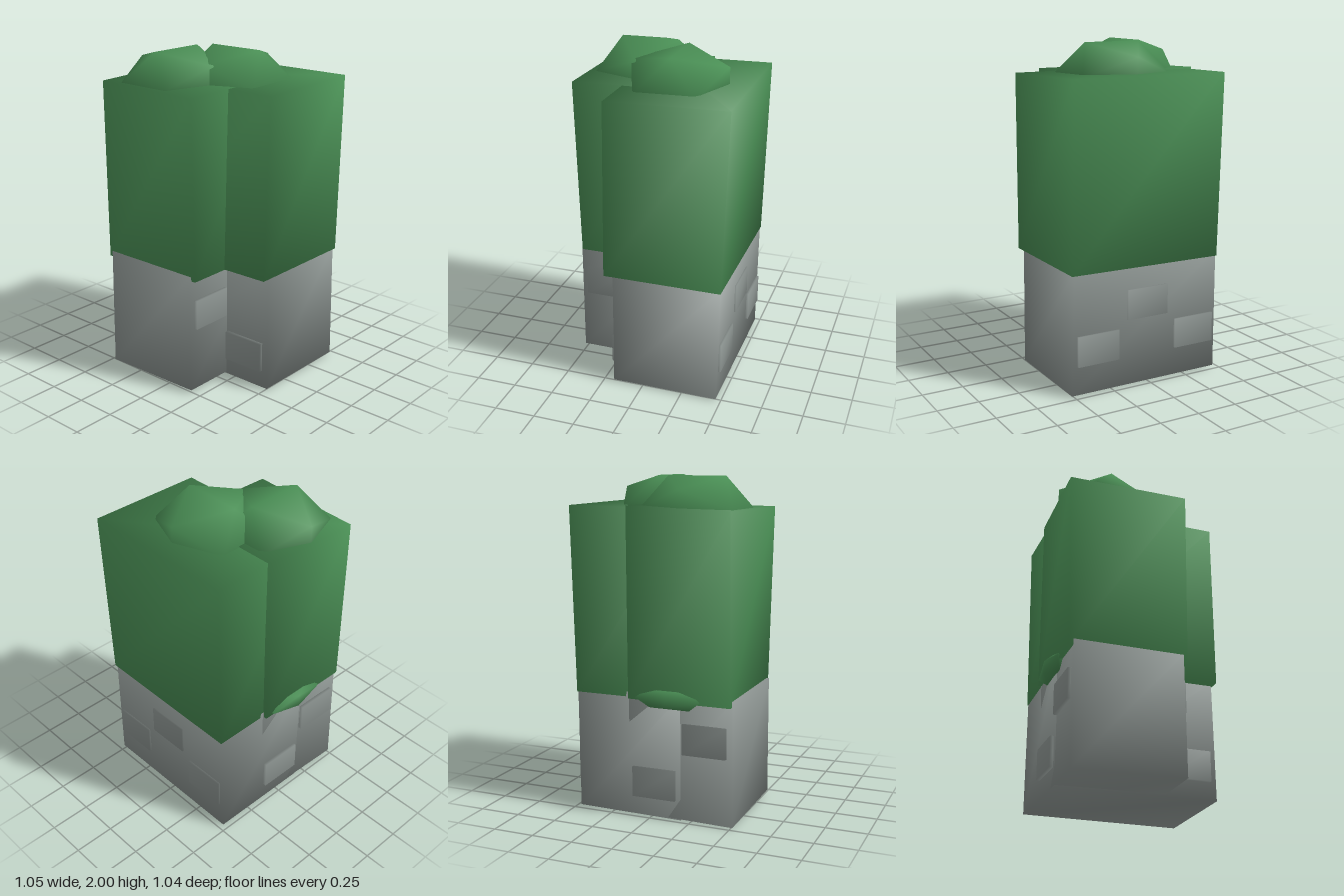
import * as THREE from 'three';
import { mergeVertices } from 'three/addons/utils/BufferGeometryUtils.js';

// Shares vertices between faces so the shading runs softly over the edges
function soften(geometry) {
  geometry.deleteAttribute('normal');
  geometry.deleteAttribute('uv');
  const merged = mergeVertices(geometry, 1e-4);
  merged.computeVertexNormals();
  return merged;
}

// Slightly crooked block; corners run back-left, back-right, front-right, front-left seen from above
function block(bottom, top) {
  const geometry = soften(new THREE.BoxGeometry(2, 2, 2));
  const p = geometry.attributes.position;
  for (let i = 0; i < p.count; i++) {
    const right = p.getX(i) > 0, front = p.getZ(i) > 0;
    const corner = front ? (right ? 2 : 3) : (right ? 1 : 0);
    p.setXYZ(i, ...(p.getY(i) > 0 ? top : bottom)[corner]);
  }
  geometry.computeVertexNormals();
  return geometry;
}

// Flattened faceted clump with an edge along its top
function clump(hx, hy, hz, turned) {
  const geometry = new THREE.IcosahedronGeometry(1, 0);
  if (turned) geometry.rotateY(Math.PI / 2);
  const k = 1 / 0.8507;
  geometry.scale(hx * k, hy * k, hz * k);
  return soften(geometry);
}

export function createModel() {
  const model = new THREE.Group();
  model.name = 'hedgeOnStoneWall';
  const leaf = new THREE.MeshStandardMaterial({ color: 0x4a8f55 });
  leaf.name = 'leaf green';
  const stone = new THREE.MeshStandardMaterial({ color: 0x8c9491 });
  stone.name = 'stone grey';

  const add = (name, geometry, material, position = [0, 0, 0]) => {
    const mesh = new THREE.Mesh(geometry, material);
    mesh.name = name;
    mesh.position.set(...position);
    model.add(mesh);
    return mesh;
  };

  // Stone base
  add('backWall', block(
    [[-0.47, 0.01, -0.47], [0.515, 0.01, -0.47], [0.51, 0.01, 0.185], [-0.465, 0, 0.185]],
    [[-0.465, 0.75, -0.48], [0.5, 0.75, -0.48], [0.505, 0.75, 0.18], [-0.475, 0.75, 0.185]]), stone);
  add('frontWall', block(
    [[-0.46, 0.01, -0.14], [0.19, 0.015, -0.14], [0.19, 0.02, 0.51], [-0.475, 0.005, 0.51]],
    [[-0.475, 0.75, -0.14], [0.19, 0.75, -0.14], [0.185, 0.75, 0.51], [-0.47, 0.75, 0.505]]), stone);

  // Leafy blocks
  add('backHedge', block(
    [[-0.47, 0.72, -0.485], [0.515, 0.73, -0.485], [0.515, 0.73, 0.235], [-0.47, 0.72, 0.235]],
    [[-0.48, 1.83, -0.51], [0.515, 1.83, -0.52], [0.525, 1.815, 0.21], [-0.465, 1.82, 0.205]]), leaf);
  add('frontHedge', block(
    [[-0.495, 0.715, -0.135], [0.215, 0.725, -0.135], [0.215, 0.725, 0.495], [-0.495, 0.715, 0.5]],
    [[-0.495, 1.835, -0.14], [0.22, 1.825, -0.14], [0.22, 1.81, 0.52], [-0.508, 1.815, 0.495]]), leaf);

  // Leaf clumps on top and a small one on the side
  add('frontClump', clump(0.288, 0.19, 0.29, true), leaf, [-0.205, 1.81, 0.18]);
  add('backClump', clump(0.295, 0.19, 0.3, false), leaf, [0.03, 1.81, -0.08]);
  add('sideClump', clump(0.06, 0.062, 0.2, true), leaf, [-0.47, 0.73, 0.115]);

  // Raised bricks: centre and whether they lie on a side face
  const bricks = [
    [0.335, 0.21, 0.19, false],
    [0.19, 0.505, 0.338, true],
    [0.345, 0.275, -0.47, false],
    [0.015, 0.505, -0.47, false],
    [-0.31, 0.275, -0.47, false],
    [-0.472, 0.21, 0.02, true],
    [-0.472, 0.5, 0.335, true],
  ];
  for (const [x, y, z, side] of bricks) {
    const size = side ? [0.036, 0.182, 0.27] : [0.27, 0.182, 0.036];
    add('brick', soften(new THREE.BoxGeometry(...size)), stone, [x, y, z]);
  }
  return model;
}
